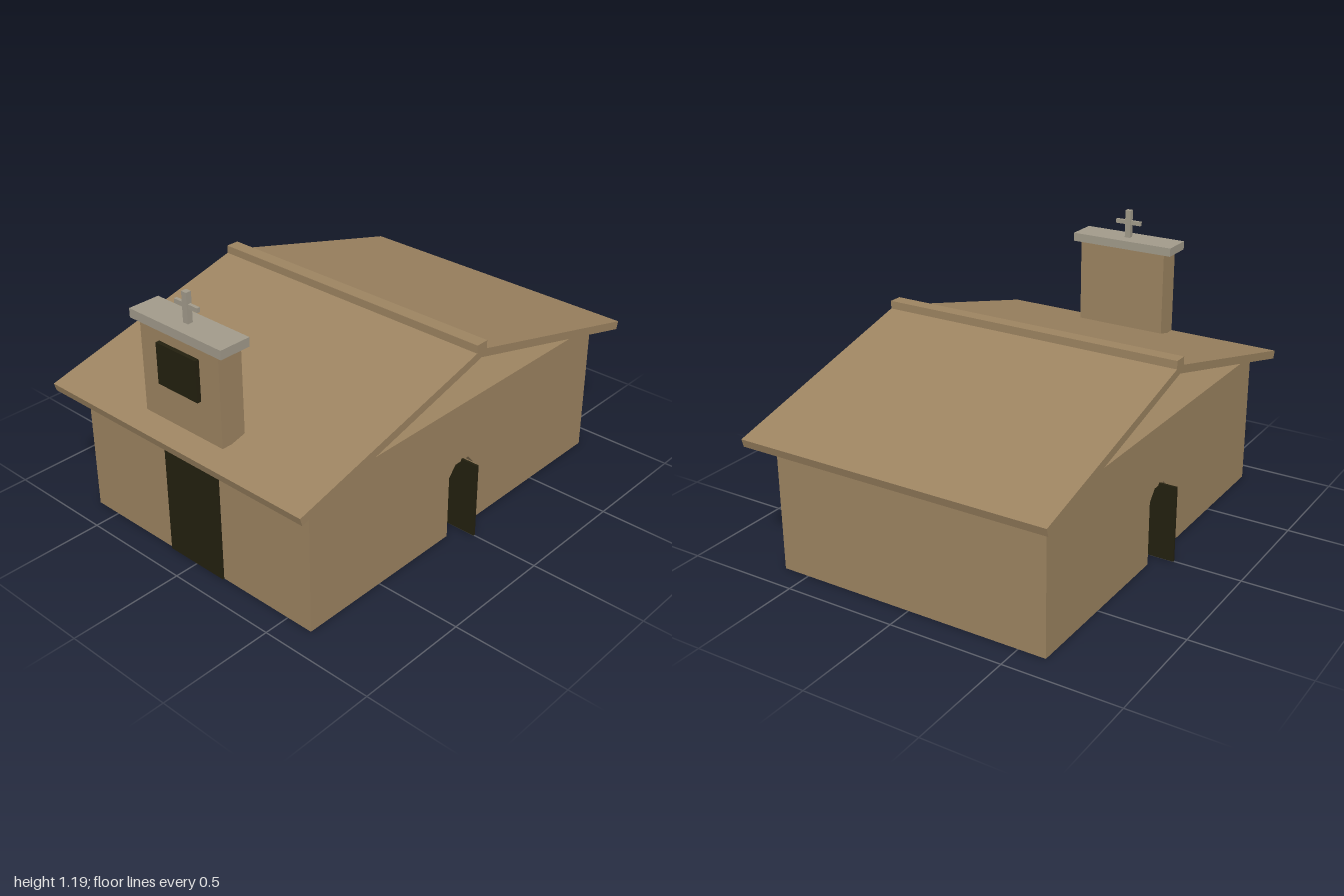
import * as THREE from 'three';

const flat = (name, color) => {
  const m = new THREE.MeshStandardMaterial({ color });
  m.name = name;
  return m;
};

export function createModel() {
  const group = new THREE.Group();
  const adobe = flat('adobe', 0x9d8461);
  const stone = flat('stone', 0xa29b8b);
  const dark = flat('darkWood', 0x23200f);

  const add = (name, geometry, material) => {
    const mesh = new THREE.Mesh(geometry, material);
    mesh.name = name;
    group.add(mesh);
    return mesh;
  };
  // Box given by its minimum and maximum corners
  const box = (name, material, [x0, y0, z0], [x1, y1, z1]) => {
    const mesh = add(name, new THREE.BoxGeometry(x1 - x0, y1 - y0, z1 - z0), material);
    mesh.position.set((x0 + x1) / 2, (y0 + y1) / 2, (z0 + z1) / 2);
    return mesh;
  };
  const extrude = (points, depth) => new THREE.ExtrudeGeometry(
    new THREE.Shape(points.map(([x, y]) => new THREE.Vector2(x, y))),
    { depth, bevelEnabled: false });

  const X = 0.62, Z = 0.885, H = 0.6, T = 0.11;

  // Walls: a slab outline that steps around an arched doorway
  const wall = (name, half, arch) => add(name, extrude(
    [[-half, 0], ...arch, [half, 0], [half, H], [-half, H]], T), adobe);

  const frontArch = [[-0.145, 0]];
  for (let i = 0; i <= 6; i++) {
    const a = Math.PI * (1 - i / 6);
    frontArch.push([0.145 * Math.cos(a), 0.39 + 0.145 * Math.sin(a)]);
  }
  frontArch.push([0.145, 0]);
  const sideArch = [[-0.08, 0], [-0.08, 0.285], [-0.04, 0.33], [0.04, 0.33], [0.08, 0.285], [0.08, 0]];

  wall('frontWall', X, frontArch).position.z = Z - T;
  box('backWall', adobe, [-X, 0, -Z], [X, H, -Z + T]);
  for (const side of [1, -1]) {
    const label = side > 0 ? 'left' : 'right';
    const w = wall(label + 'Wall', Z - T, sideArch);
    w.rotation.y = side * Math.PI / 2;
    w.position.x = side * (X - T);
    // Side door standing open across the doorway
    box(label + 'Door', dark, [side * X - 0.08, 0, -0.005], [side * X + 0.08, 0.34, 0.005]);
  }
  box('ceiling', adobe, [-X + T, H - 0.006, -Z + T], [X - T, H, Z - T]);
  box('frontDoor', dark, [-0.15, 0, Z], [0.15, 0.55, Z + 0.008]);

  // Gabled roof: one chevron section run along x
  const roof = add('roof', extrude(
    [[-1, 0.605], [-0.99, 0.57], [0, 0.83], [0.99, 0.57], [1, 0.605], [0, 0.865]], 1.38), adobe);
  roof.rotation.y = Math.PI / 2;
  roof.position.x = -0.69;
  box('ridgeCap', adobe, [-0.69, 0.845, -0.03], [0.69, 0.892, 0.03]);

  // Bell gable with its window, coping and cross
  box('bellGable', adobe, [-0.212, 0.64, 0.8], [0.212, 1.03, 0.912]);
  box('bellWindow', dark, [-0.108, 0.8, 0.912], [0.108, 0.975, 0.93]);
  box('coping', stone, [-0.247, 1.03, 0.79], [0.247, 1.068, 0.93]);
  box('crossPost', stone, [-0.013, 1.068, 0.848], [0.013, 1.194, 0.872]);
  box('crossBar', stone, [-0.062, 1.128, 0.853], [0.062, 1.147, 0.867]);

  return group;
}
